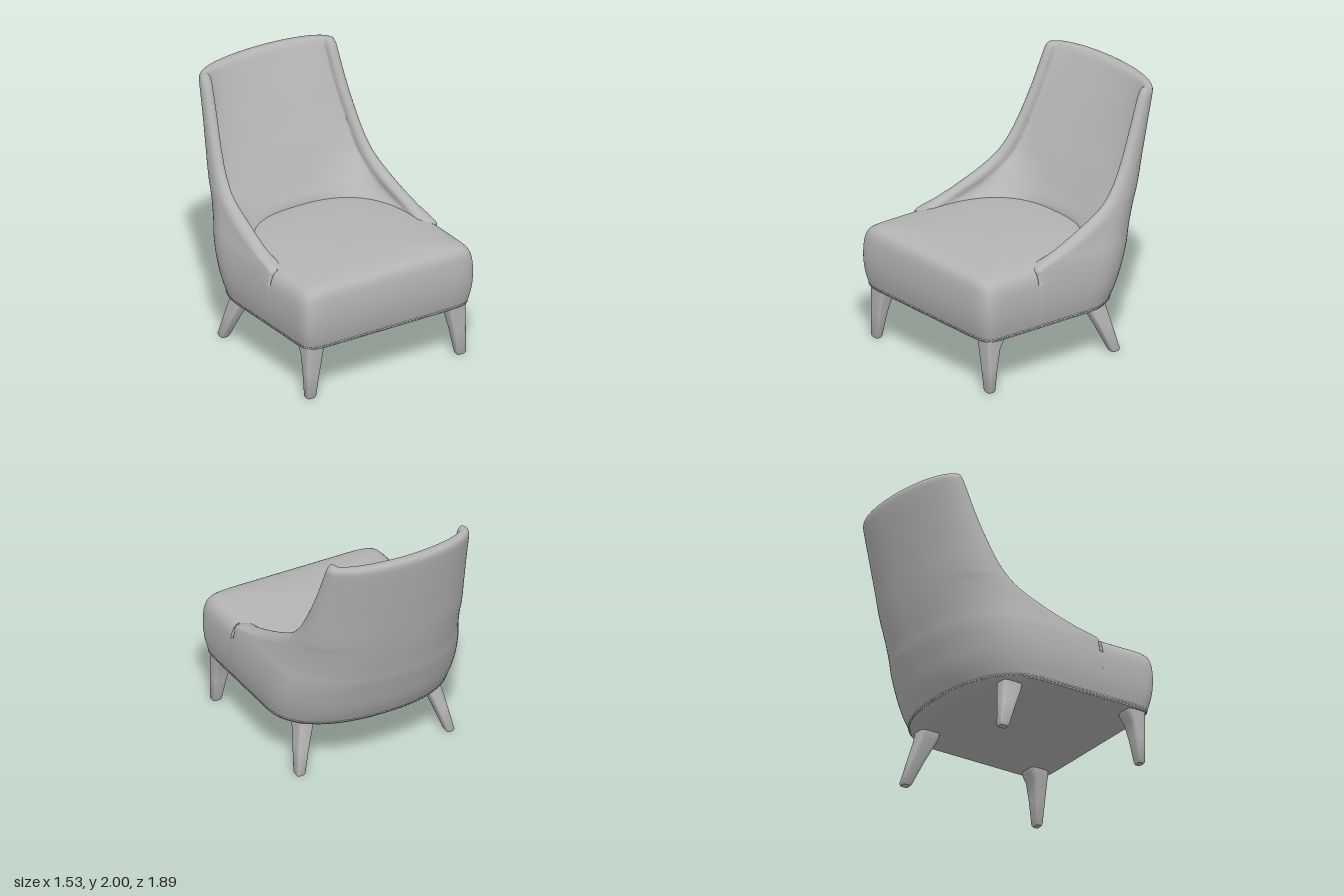
import * as THREE from 'three';
import { mergeGeometries, toCreasedNormals } from 'three/addons/utils/BufferGeometryUtils.js';

// Back shell by height: y, half width, front edge z, edge roundness, start of back curve,
// outer back z, inner back z, wall thickness, outer and inner squareness
const ROWS = [
  [0.42, 0.73, 0.43, 0.04, -0.05, -0.53, -0.35, 0.10, 2.3, 2.6],
  [0.55, 0.758, 0.43, 0.04, -0.08, -0.60, -0.35, 0.12, 2.3, 2.6],
  [0.70, 0.767, 0.43, 0.04, -0.13, -0.655, -0.35, 0.12, 2.3, 2.6],
  [0.85, 0.755, 0.43, 0.04, -0.18, -0.705, -0.35, 0.12, 2.3, 2.6],
  [0.90, 0.745, 0.42, 0.05, -0.20, -0.717, -0.35, 0.12, 2.3, 2.6],
  [0.95, 0.732, 0.27, 0.13, -0.225, -0.73, -0.36, 0.11, 2.3, 2.6],
  [1.05, 0.71, 0.00, 0.15, -0.285, -0.757, -0.41, 0.11, 2.3, 2.5],
  [1.17, 0.687, -0.25, 0.12, -0.38, -0.787, -0.465, 0.10, 2.25, 2.3],
  [1.28, 0.669, -0.37, 0.09, -0.465, -0.812, -0.515, 0.095, 2.2, 2.1],
  [1.45, 0.647, -0.475, 0.07, -0.55, -0.848, -0.60, 0.09, 2.1, 1.9],
  [1.70, 0.62, -0.59, 0.055, -0.65, -0.90, -0.72, 0.09, 2.05, 1.8],
  [1.95, 0.60, -0.69, 0.045, -0.74, -0.947, -0.84, 0.085, 2, 1.8],
  [2.00, 0.595, -0.715, 0.04, -0.758, -0.95, -0.86, 0.08, 2, 1.8],
];
const spline = new THREE.CubicInterpolant(ROWS.map(r => r[0]), ROWS.flatMap(r => r.slice(1)), 9);
const shellAt = y => Array.from(spline.evaluate(y));
const frontZ = y => 0.945 - 0.04 * ((0.68 - y) / 0.26) ** 2;

// Superellipse point: half width w, running from z0 to z1 at the middle
function superPoint(t, w, z0, z1, e) {
  const c = Math.cos(t), s = Math.max(0, Math.sin(t));
  return [w * Math.sign(c) * Math.abs(c) ** (2 / e), z0 + (z1 - z0) * s ** (2 / e)];
}

// Skin over stacked loops, capped by strips between point i and point L - i
function loft(loops, crease) {
  const L = loops[0].length, pos = loops.flat(2), idx = [];
  for (let k = 0; k < loops.length - 1; k++) {
    for (let i = 0; i < L; i++) {
      const a = k * L + i, b = k * L + (i + 1) % L;
      idx.push(a, b, b + L, a, b + L, a + L);
    }
  }
  const top = (loops.length - 1) * L;
  for (let i = 0; i < L / 2; i++) {
    const j = i + 1, m = L - i - 1, n = (L - i) % L;
    idx.push(top + i, top + j, top + m, top + i, top + m, top + n);
    idx.push(j, i, m, m, i, n);
  }
  const geo = new THREE.BufferGeometry();
  geo.setAttribute('position', new THREE.Float32BufferAttribute(pos, 3));
  geo.setIndex(idx);
  return toCreasedNormals(geo, crease);
}

// Horizontal slice of the wraparound back and arms
function shellLoop(y) {
  let [w, zf, cap, z0, zb, zi, t, eOut, eIn] = shellAt(y);
  if (y < 0.78) zf = 0.45 + cap;
  const zs = zf - cap, N = 44, S = 8, C = 6;
  z0 = Math.min(z0, zs - 0.005);
  const outer = [], inner = [];
  for (let i = 0; i < S; i++) outer.push([w, zs + (z0 - zs) * i / S]);
  for (let i = 0; i <= N; i++) outer.push(superPoint(Math.PI * i / N, w, z0, zb, eOut));
  for (let i = S - 1; i >= 0; i--) outer.push([-w, zs + (z0 - zs) * i / S]);
  const M = outer.length;
  for (let i = 0; i < M; i++) inner.push(superPoint(Math.PI * (1 - i / (M - 1)), w - t, zs, zi, eIn));
  // rounded front edge, from its tip outward
  const edge = side => {
    const pts = [];
    for (let i = 0; i < C; i++) {
      const a = Math.PI / 2 * i / C;
      pts.push([w - t / 2 + side * t / 2 * Math.sin(a), zs + cap * Math.cos(a)]);
    }
    return pts;
  };
  const flip = p => [-p[0], p[1]];
  const loop = [
    ...edge(1), ...outer, ...edge(1).slice(1).reverse().map(flip),
    ...edge(-1).map(flip), ...inner, ...edge(-1).slice(1).reverse(),
  ];
  // round the top rim by drawing both faces together
  const r = Math.max(0, (y - 1.95) / 0.05), f = 0.55 * (1 - Math.sqrt(Math.max(0, 1 - r * r)));
  return loop.map(([x, z], i) => {
    const q = loop[(loop.length - i) % loop.length];
    return [x + (q[0] - x) * f / 2, y, z + (q[1] - z) * f / 2];
  });
}

// Slice of the seat: full width in front, tucked in between the arms
function seatLoop(y, w, zFront, zBack, s) {
  const half = [], N = 28, mid = 0.437, k = 1 - s;
  const rear = Math.min(w - 0.065, w * k);
  for (let i = 0; i <= N; i++) {
    half.push(superPoint(Math.PI / 2 * (1 - i / N), w * k, mid, mid + (zFront - mid) * k, 12));
  }
  for (let i = 0; i <= N; i++) {
    half.push(superPoint(Math.PI / 2 * i / N, rear, mid, mid + (zBack - mid) * k, 2.6));
  }
  const loop = [...half, ...half.slice(1, -1).reverse().map(([x, z]) => [-x, z])];
  return loop.map(([x, z]) => [x, y, z]);
}

// Tapered leg through rounded rectangles: y, centre x, centre z, half width, half depth
function legGeometry(sections) {
  return loft(sections.map(([y, cx, cz, hx, hz]) => {
    const loop = [];
    for (let i = 0; i < 32; i++) {
      const a = 2 * Math.PI * i / 32, c = Math.cos(a), s = Math.sin(a);
      loop.push([cx + hx * Math.sign(c) * Math.abs(c) ** 0.42, y, cz - hz * Math.sign(s) * Math.abs(s) ** 0.42]);
    }
    return loop;
  }), 0.8);
}

export function createModel() {
  const group = new THREE.Group();
  const grey = new THREE.MeshStandardMaterial({ color: 0xb4b4b4 });
  grey.name = 'grey upholstery';
  const add = (name, geo) => {
    const mesh = new THREE.Mesh(geo, grey);
    mesh.name = name;
    group.add(mesh);
  };

  // Back and arms in one shell
  const heights = [];
  for (let i = 0; i <= 8; i++) heights.push(0.42 + 0.35 * i / 8);
  for (let y = 0.79; y < 1.3; y += 0.0125) heights.push(y);
  for (let y = 1.32; y < 1.93; y += 0.05) heights.push(y);
  heights.push(1.95, 1.965, 1.98, 1.99, 1.996, 2);
  add('backAndArms', loft(heights.map(shellLoop), 1.25));

  // Seat block with a domed top
  const seat = [];
  for (let i = 0; i <= 8; i++) {
    const y = 0.42 + 0.37 * i / 8;
    seat.push(seatLoop(y, shellAt(y)[0], frontZ(y), -0.4 - 0.1 * i / 8, 0));
  }
  const dome = [[0.009, 0.82], [0.02, 0.845], [0.036, 0.868], [0.06, 0.887], [0.09, 0.901], [0.13, 0.911],
    [0.25, 0.925], [0.45, 0.936], [0.7, 0.942], [0.97, 0.945]];
  for (const [s, y] of dome) seat.push(seatLoop(y, shellAt(0.79)[0], frontZ(0.79), -0.5, s));
  add('seat', loft(seat, 0.8));

  // Row of nail heads around the lower edge, half sunk
  const ny = 0.44, sink = 0.005, [w, , , z0, zb, , , eOut] = shellAt(ny), path = [];
  for (let i = 0; i <= 60; i++) path.push(superPoint(Math.PI * i / 60, w - sink, z0, zb + sink, eOut));
  for (let i = 60; i >= 0; i--) path.push(superPoint(Math.PI * i / 60, w - sink, 0.437, frontZ(ny) - sink, 12));
  const line = new THREE.CurvePath();
  path.forEach(([x, z], i) => {
    const [x2, z2] = path[(i + 1) % path.length];
    if (Math.hypot(x2 - x, z2 - z) > 1e-6) {
      line.add(new THREE.LineCurve3(new THREE.Vector3(x, ny, z), new THREE.Vector3(x2, ny, z2)));
    }
  });
  const count = Math.round(line.getLength() / 0.032), nails = [];
  for (let i = 0; i < count; i++) {
    const p = line.getPointAt(i / count);
    nails.push(new THREE.SphereGeometry(0.012, 8, 6).translate(p.x, p.y, p.z));
  }
  add('nailHeads', mergeGeometries(nails));

  // Legs, each pair mirrored left and right
  const frontLeg = [
    [0, 0.667, 0.833, 0.03, 0.022], [0.015, 0.669, 0.833, 0.041, 0.03],
    [0.2, 0.653, 0.822, 0.057, 0.045], [0.34, 0.638, 0.808, 0.072, 0.061],
    [0.39, 0.632, 0.793, 0.078, 0.077], [0.43, 0.63, 0.788, 0.08, 0.082],
  ];
  const backLeg = [
    [0, 0.637, -0.382, 0.028, 0.032], [0.015, 0.635, -0.38, 0.035, 0.042],
    [0.2, 0.59, -0.32, 0.048, 0.06], [0.36, 0.546, -0.265, 0.061, 0.081],
    [0.4, 0.538, -0.256, 0.063, 0.085], [0.43, 0.535, -0.252, 0.063, 0.086],
  ];
  for (const side of [1, -1]) {
    const place = rows => rows.map(([y, x, ...rest]) => [y, side * x, ...rest]);
    const label = side > 0 ? 'Left' : 'Right';
    add('front' + label + 'Leg', legGeometry(place(frontLeg)));
    add('back' + label + 'Leg', legGeometry(place(backLeg)));
  }
  return group;
}
